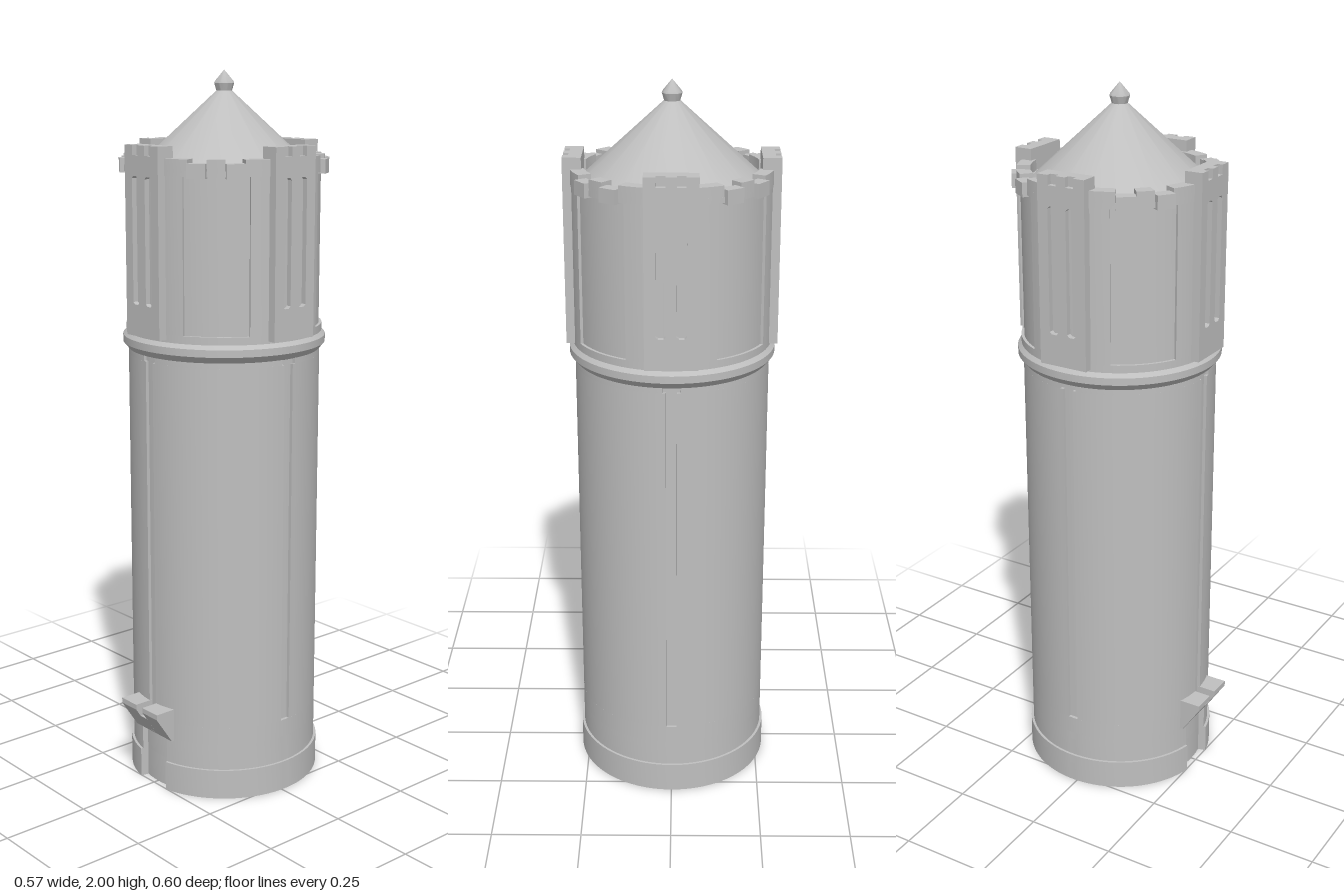
import * as THREE from 'three';
import { toCreasedNormals, mergeVertices } from 'three/addons/utils/BufferGeometryUtils.js';

const stone = new THREE.MeshStandardMaterial({ color: 0xbfbfbf });
stone.name = 'stone';
const DEG = Math.PI / 180;

export function createModel() {
  const root = new THREE.Group();
  root.name = 'tower';
  const tower = new THREE.Group();
  tower.name = 'towerBody';
  tower.position.z = -0.015;
  root.add(tower);

  const add = (name, geometry, parent = tower) => {
    const mesh = new THREE.Mesh(geometry, stone);
    mesh.name = name;
    parent.add(mesh);
    return mesh;
  };

  // Arc points, angles in degrees, front at 270
  const arc = (r, a0, a1) => {
    const n = Math.max(2, Math.ceil(Math.abs(a1 - a0) / 4));
    return Array.from({ length: n + 1 }, (_, i) => {
      const a = (a0 + (a1 - a0) * i / n) * DEG;
      return new THREE.Vector2(r * Math.cos(a), r * Math.sin(a));
    });
  };

  // Vertical prism between two heights
  const prism = (points, y0, y1) => {
    const g = new THREE.ExtrudeGeometry(new THREE.Shape(points), { depth: y1 - y0, bevelEnabled: false });
    g.rotateX(-Math.PI / 2).translate(0, y0, 0);
    return toCreasedNormals(g, 30 * DEG);
  };

  // Round outline with sunken stretches: [centre angle, half angle, sunken radius]
  const notched = (R, notches) => {
    const pts = [];
    notches.forEach(([a, h, r], i) => {
      const next = i + 1 < notches.length ? notches[i + 1] : [notches[0][0] + 360, notches[0][1]];
      pts.push(...arc(r, a - h, a + h), ...arc(R, a + h, next[0] - next[1]));
    });
    return pts;
  };
  const quarters = (start, h, r) => [0, 1, 2, 3].map(i => [start + i * 90, h, r]);
  const door = [[270, 12, 0.25]];

  // Base and shaft, with the doorway and four long grooves
  add('base', prism(notched(0.273, door), 0, 0.085));
  add('shaftFoot', prism(notched(0.266, door), 0.085, 0.16));
  const round = (name, r, y0, y1) =>
    add(name, new THREE.CylinderGeometry(r, r, y1 - y0, 90).translate(0, (y0 + y1) / 2, 0));
  round('shaftLower', 0.266, 0.16, 0.21);
  add('shaft', prism(notched(0.266, quarters(0, 3.2, 0.257)), 0.21, 1.235));
  add('grooveHeads', prism(notched(0.266, quarters(0, 5.2, 0.257)), 1.235, 1.25));

  // Flared collar below the battlement
  const collar = new THREE.LatheGeometry([
    [0.25, 1.245], [0.266, 1.25], [0.281, 1.268], [0.281, 1.288], [0.27, 1.3], [0.25, 1.3],
  ].map(p => new THREE.Vector2(...p)), 90);
  add('collar', toCreasedNormals(collar, 30 * DEG));

  // Drum with four sunken panels
  round('drumFoot', 0.271, 1.295, 1.32);
  add('drum', prism(notched(0.271, quarters(45, 19, 0.263)), 1.32, 1.735));
  round('drumTop', 0.273, 1.735, 1.75);

  // Battlement: merlons and the jutting blocks between them
  for (let q = 0; q < 4; q++) {
    for (const [a0, a1] of [[13, 29], [40, 50], [61, 77]]) {
      const s = q * 90;
      add('merlon', prism([...arc(0.273, s + a0, s + a1), ...arc(0.236, s + a1, s + a0)], 1.745, 1.779));
    }
    for (const a of [34.5, 55.5]) {
      const block = add('battlementBlock', new THREE.BoxGeometry(0.036, 0.038, 0.05));
      const t = (q * 90 + a) * DEG;
      block.position.set(0.267 * Math.cos(t), 1.75, -0.267 * Math.sin(t));
      block.rotation.y = t;
    }
  }

  // Four slit-window bays
  const face = new THREE.Shape([
    [-0.07, 1.305], [0.07, 1.305], [0.07, 1.81], [0.038, 1.81], [0.038, 1.784], [0.014, 1.784],
    [0.014, 1.81], [-0.014, 1.81], [-0.014, 1.784], [-0.038, 1.784], [-0.038, 1.81], [-0.07, 1.81],
  ].map(p => new THREE.Vector2(...p)));
  for (const x of [-0.027, 0.027]) {
    const slit = new THREE.Path();
    const w = 0.013, c = 0.006;
    slit.moveTo(x - w + c, 1.39).lineTo(x + w - c, 1.39).lineTo(x + w, 1.39 + c).lineTo(x + w, 1.73 - c)
      .lineTo(x + w - c, 1.73).lineTo(x - w + c, 1.73).lineTo(x - w, 1.73 - c).lineTo(x - w, 1.39 + c).closePath();
    face.holes.push(slit);
  }
  const faceGeometry = new THREE.ExtrudeGeometry(face, { depth: 0.015, bevelEnabled: false }).translate(0, 0, 0.27);
  const backGeometry = new THREE.BoxGeometry(0.14, 0.505, 0.035).translate(0, 1.5575, 0.2525);
  for (let i = 0; i < 4; i++) {
    const bay = new THREE.Group();
    bay.name = 'windowBay';
    bay.rotation.y = i * Math.PI / 2;
    add('bayFace', faceGeometry, bay);
    add('bayBack', backGeometry, bay);
    tower.add(bay);
  }

  // Sixteen-sided roof with smooth shading, and its finial
  const roof = new THREE.CylinderGeometry(0.018, 0.241, 0.203, 16, 1, true);
  roof.rotateY(Math.PI / 16).translate(0, 1.8465, 0);
  add('roof', roof);
  const finial = new THREE.LatheGeometry([
    [0.018, 1.935], [0.021, 1.945], [0.027, 1.965], [0.025, 1.97], [0, 2],
  ].map(p => new THREE.Vector2(...p)), 32);
  add('finial', toCreasedNormals(finial, 35 * DEG));

  // Wedge-shaped door hood, split in the middle
  const hood = (name, profile, x0, x1) => {
    const g = new THREE.ExtrudeGeometry(new THREE.Shape(profile.map(p => new THREE.Vector2(...p))),
      { depth: x1 - x0, bevelEnabled: false });
    // Profile is drawn as (-z, y)
    g.rotateY(Math.PI / 2).translate(x0, 0, 0);
    add(name, g);
  };
  const side = [[-0.315, 0.235], [-0.262, 0.155], [-0.235, 0.155], [-0.235, 0.25], [-0.315, 0.25]];
  const middle = [[-0.3, 0.212], [-0.262, 0.155], [-0.235, 0.155], [-0.235, 0.212]];
  hood('hoodRight', side, -0.08, -0.014);
  hood('hoodLeft', side, 0.014, 0.08);
  hood('hoodMiddle', middle, -0.014, 0.014);

  return root;
}
